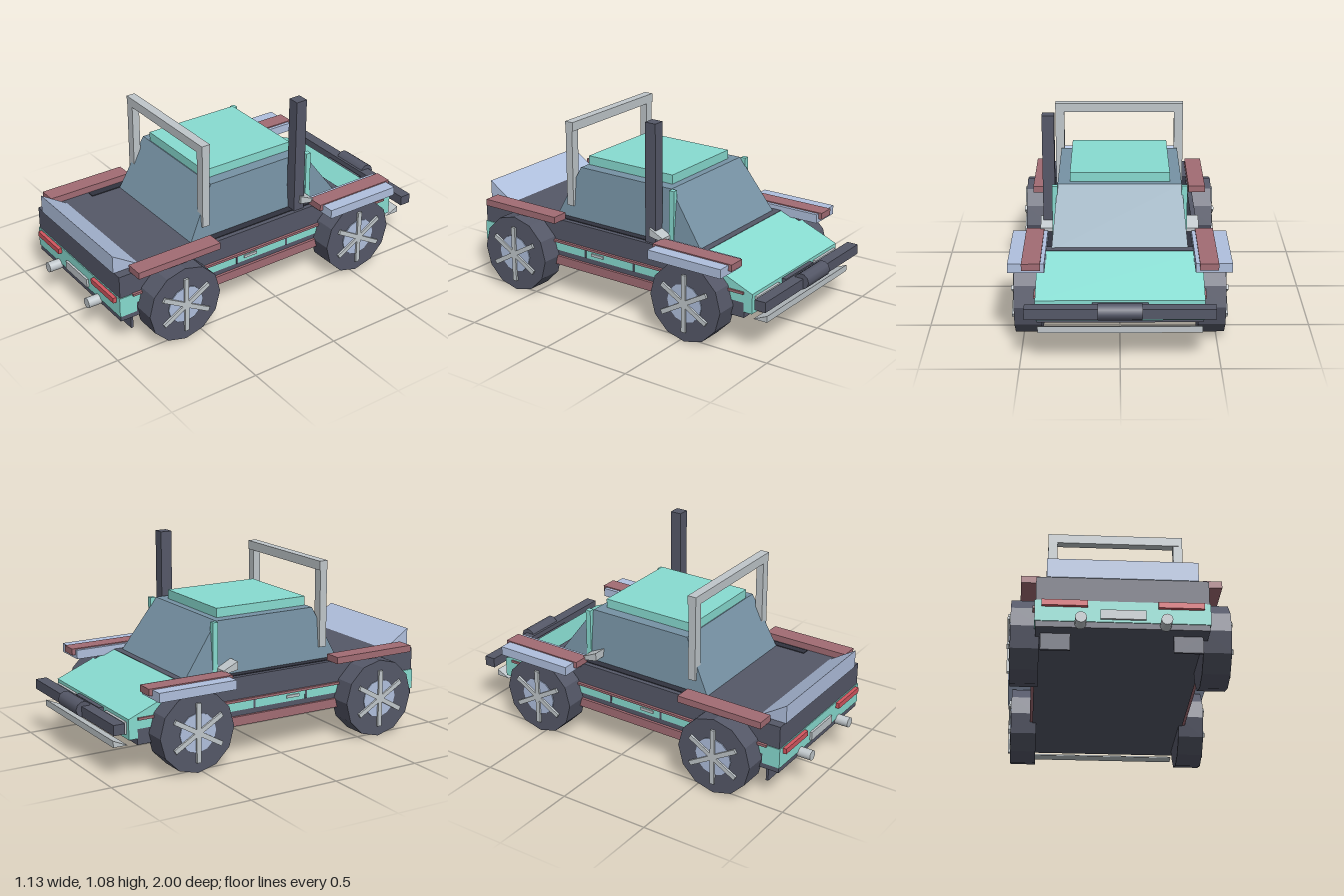
import * as THREE from 'three';

const mat = (name, color) => {
  const m = new THREE.MeshStandardMaterial({ color });
  m.name = name;
  return m;
};

export function createModel() {
  const dark = mat('charcoal', 0x555868);
  const shadow = mat('black trim', 0x31333e);
  const mint = mat('mint paint', 0x88dcd1);
  const glass = mat('window glass', 0x7793a5);
  const rose = mat('rose trim', 0xa26c74);
  const pale = mat('pale blue', 0xb0c0de);
  const grey = mat('light metal', 0xc0c7cb);
  const red = mat('lamp red', 0xd2565f);

  const car = new THREE.Group();
  car.name = 'offRoadCar';

  const add = (name, geo, material, parent = car) => {
    const m = new THREE.Mesh(geo, material);
    m.name = name;
    parent.add(m);
    return m;
  };
  // box from its limits on each axis
  const box = (name, material, x0, x1, y0, y1, z0, z1) => {
    const g = new THREE.BoxGeometry(Math.abs(x1 - x0), y1 - y0, z1 - z0);
    g.translate((x0 + x1) / 2, (y0 + y1) / 2, (z0 + z1) / 2);
    return add(name, g, material);
  };
  const pair = (name, material, x0, x1, ...rest) => {
    for (const s of [1, -1]) box(name, material, s * x0, s * x1, ...rest);
  };
  // side profile of (z, y) points, extruded across the width
  const profile = (points, x0, x1) => {
    const shape = new THREE.Shape(points.map(p => new THREE.Vector2(...p)));
    const g = new THREE.ExtrudeGeometry(shape, { depth: x1 - x0, bevelEnabled: false });
    g.rotateY(-Math.PI / 2);
    g.translate(x1, 0, 0);
    return g;
  };

  // Body shell, hood and nose
  add('bodyShell', profile([[0.925, 0.165], [0.925, 0.43], [-0.53, 0.43],
    [-0.81, 0.3], [-0.81, 0.165]], -0.42, 0.42), dark);
  add('hood', profile([[-0.535, 0.44], [-0.86, 0.308], [-0.86, 0.2], [-0.81, 0.2],
    [-0.81, 0.25], [-0.65, 0.25], [-0.535, 0.41]], -0.425, 0.425), mint);

  // Paint bands, stripes and sills
  pair('sideBand', mint, 0.418, 0.425, 0.25, 0.305, -0.81, 0.928);
  pair('sideBandCorner', mint, 0.418, 0.425, 0.195, 0.25, 0.83, 0.928);
  box('endBand', mint, -0.425, 0.425, 0.195, 0.305, 0.922, 0.93);
  pair('sideStripe', rose, 0.42, 0.435, 0.297, 0.31, -0.81, 0.855);
  pair('sill', rose, 0.415, 0.435, 0.17, 0.22, -0.36, 0.45);
  for (const z of [0.205, -0.12]) pair('doorSeam', dark, 0.42, 0.427, 0.25, 0.298, z - 0.006, z + 0.006);
  pair('doorHandle', grey, 0.42, 0.432, 0.27, 0.285, 0.08, 0.16);
  pair('deckTrim', shadow, 0.355, 0.395, 0.428, 0.434, -0.5, 0.625);

  // Cabin, narrowing slightly upward
  const cabin = profile([[0.45, 0.43], [0.305, 0.72], [-0.295, 0.72], [-0.505, 0.43]], -0.355, 0.355);
  const p = cabin.attributes.position;
  for (let i = 0; i < p.count; i++) {
    p.setX(i, p.getX(i) * (1 - 0.08 * (p.getY(i) - 0.43) / 0.29));
  }
  cabin.computeVertexNormals();
  add('cabin', cabin, glass);
  box('roof', mint, -0.265, 0.262, 0.72, 0.77, -0.255, 0.3);
  box('windshieldBase', dark, -0.38, 0.38, 0.42, 0.442, -0.535, -0.48);
  pair('windshieldPost', mint, 0.325, 0.355, 0.43, 0.72, -0.33, -0.3);

  // Roll bar and intake pipe
  box('rollBarTop', grey, -0.36, 0.36, 0.925, 0.975, 0.33, 0.38);
  pair('rollBarPost', grey, 0.31, 0.36, 0.5, 0.925, 0.335, 0.378);
  box('intakePipe', dark, 0.342, 0.406, 0.43, 1.08, -0.25, -0.185);

  // Side mirrors, deck spoiler and fenders
  for (const s of [1, -1]) {
    add('mirror', profile([[-0.22, 0.47], [-0.22, 0.515], [-0.305, 0.475], [-0.305, 0.455]],
      s > 0 ? 0.335 : -0.42, s > 0 ? 0.42 : -0.335), grey);
  }
  add('spoiler', profile([[0.93, 0.43], [0.93, 0.53], [0.775, 0.43]], -0.37, 0.37), pale);
  pair('wideFender', pale, 0.38, 0.565, 0.415, 0.465, -0.76, -0.315);
  pair('fenderCap', rose, 0.4, 0.495, 0.435, 0.471, -0.78, -0.295);
  pair('rearFender', rose, 0.4, 0.495, 0.433, 0.47, 0.36, 0.855);

  // Lamps, plate, exhausts and mud flaps
  pair('tailLamp', red, 0.17, 0.393, 0.27, 0.3, 0.925, 0.95);
  box('plate', grey, -0.11, 0.11, 0.208, 0.256, 0.928, 0.942);
  pair('mudFlap', dark, 0.25, 0.395, 0.08, 0.17, 0.838, 0.852);
  for (const s of [1, -1]) {
    const g = new THREE.CylinderGeometry(0.028, 0.028, 0.08, 16);
    g.rotateX(Math.PI / 2).translate(s * 0.205, 0.186, 0.96);
    add('exhaust', g, grey);
  }

  // Bumper, winch, grille and skid plate
  box('bumper', dark, -0.475, 0.475, 0.255, 0.31, -0.968, -0.905);
  const winch = new THREE.CylinderGeometry(0.043, 0.043, 0.22, 10);
  winch.rotateZ(Math.PI / 2).translate(0, 0.293, -0.957);
  add('winch', winch, dark);
  box('grille', dark, -0.14, 0.14, 0.22, 0.298, -0.885, -0.855);
  pair('headLamp', grey, 0.18, 0.4, 0.225, 0.29, -0.875, -0.855);
  add('skidPlate', profile([[-0.86, 0.17], [-0.94, 0.17], [-0.94, 0.205]], -0.41, 0.41), grey);

  // Wheels: twelve-sided tyre, rim disc and three crossing bars
  for (const s of [1, -1]) for (const z of [0.61, -0.53]) {
    const wheel = new THREE.Group();
    wheel.name = 'wheel';
    wheel.position.set(s * 0.47, 0.216, z);
    const tyre = new THREE.CylinderGeometry(0.215, 0.215, 0.14, 12).toNonIndexed();
    tyre.rotateZ(Math.PI / 2);
    tyre.computeVertexNormals();
    add('tyre', tyre, dark, wheel);
    const rim = new THREE.CylinderGeometry(0.105, 0.105, 0.01, 12);
    rim.rotateZ(Math.PI / 2).translate(s * 0.07, 0, 0);
    add('rim', rim, pale, wheel);
    for (let i = 0; i < 3; i++) {
      const bar = add('spoke', new THREE.BoxGeometry(0.012, 0.315, 0.025), grey, wheel);
      bar.position.x = s * 0.079;
      bar.rotation.x = i * Math.PI / 3;
    }
    car.add(wheel);
  }
  return car;
}
